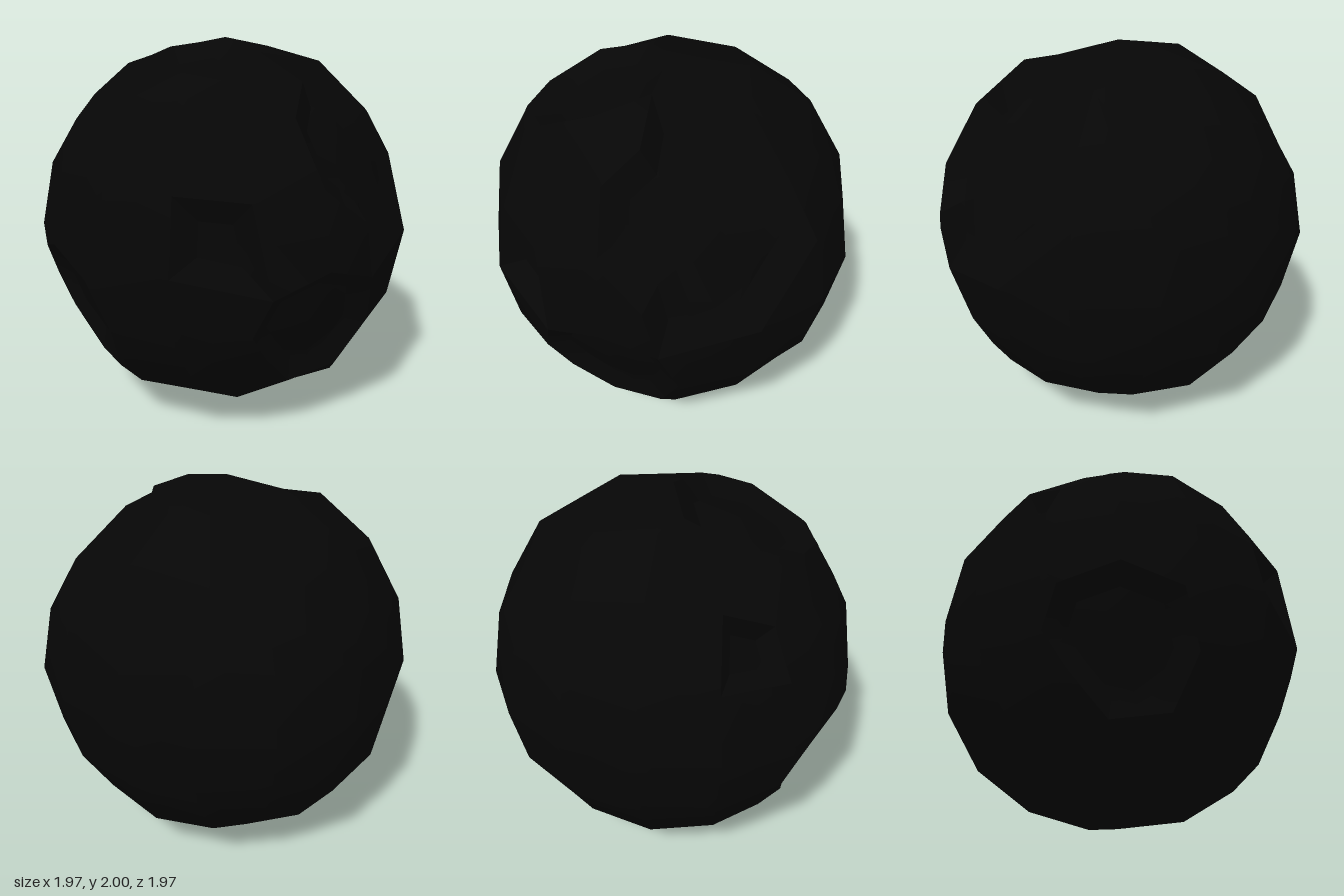
import * as THREE from 'three';
import { ConvexGeometry } from 'three/addons/geometries/ConvexGeometry.js';
import { toCreasedNormals } from 'three/addons/utils/BufferGeometryUtils.js';

const V = (x, y, z) => new THREE.Vector3(x, y, z);

// Octagonal crater outline on the front; the flank one is the same, turned a quarter
const octagon = [
  [-0.39, 0, 0.92], [-0.1, -0.1, 0.985], [0, -0.38, 0.92], [-0.08, -0.64, 0.79],
  [-0.34, -0.67, 0.67], [-0.55, -0.46, 0.68], [-0.67, -0.3, 0.68], [-0.64, -0.1, 0.77],
];

// Each crater: rim corners, size of the floor against the rim, floor height factor
const craters = [
  { rim: octagon.map(([x, y, z]) => V(x, y, z)), inset: 0.74, floor: 0.91 },
  { rim: octagon.map(([x, y, z]) => V(z, y, -x)), inset: 0.74, floor: 0.91 },
  { // top
    rim: [V(0, 1, 0), V(0.3, 0.94, 0.1), V(0.366, 0.87, 0.366), V(0.24, 0.75, 0.64),
      V(0, 0.735, 0.73), V(-0.24, 0.75, 0.64), V(-0.366, 0.87, 0.366), V(-0.28, 0.94, 0.1)],
    inset: 0.72, floor: 0.9,
  },
  { // large one on the left flank
    rim: [V(0.3, 0.94, 0.1), V(0.59, 0.82, 0.16), V(0.67, 0.68, 0.34), V(0.857, 0.375, 0.366),
      V(0.98, 0.19, 0.17), V(0.985, -0.1, 0.1), V(0.92, 0, -0.393), V(0.67, 0.345, -0.67),
      V(0.58, 0.6, -0.54), V(0.366, 0.87, -0.366)],
    inset: 0.74, floor: 0.9,
  },
  { // small square one on the front
    rim: [V(0.366, 0.37, 0.857), V(0.67, 0.345, 0.67), V(0.77, -0.1, 0.64), V(0.393, 0, 0.92)],
    inset: 0.5, floor: 0.88,
  },
  { // small one, upper right
    rim: [V(-0.857, 0.37, 0.366), V(-0.67, 0.68, 0.34), V(-0.57, 0.58, 0.57), V(-0.67, 0.345, 0.67)],
    inset: 0.55, floor: 0.9,
  },
  { // small one underneath
    rim: [V(0, -1, 0), V(0.393, -0.93, 0), V(0.366, -0.87, 0.366), V(0, -0.93, 0.393)],
    inset: 0.55, floor: 0.9,
  },
];

// Corners of a rounded cube with 4 by 4 facets per side, up to order and sign
const bodyCorners = [
  [0.985, 0, 0], [0.92, 0.393, 0], [0.721, 0.721, 0],
  [0.857, 0.366, 0.366], [0.672, 0.672, 0.339], [0.571, 0.571, 0.571],
];
const orders = [[0, 1, 2], [0, 2, 1], [1, 0, 2], [1, 2, 0], [2, 0, 1], [2, 1, 0]];

// Signed distance of p beyond the outline, measured in its own sector
function beyond(p, ring, center) {
  let result = Infinity;
  ring.forEach((a, i) => {
    const b = ring[(i + 1) % ring.length];
    const side = Math.sign(a.clone().cross(b).dot(center));
    const inSector = center.clone().cross(a).dot(p) * side >= 0
      && b.clone().cross(center).dot(p) * side >= 0 && p.dot(center) > 0;
    if (inSector) result = -a.clone().cross(b).normalize().dot(p) * side;
  });
  return result;
}

// Closed ring with long edges split along their chords
function splitRing(ring) {
  return ring.flatMap((a, i) => {
    const b = ring[(i + 1) % ring.length];
    const n = Math.max(1, Math.ceil(a.distanceTo(b) / 0.17));
    return Array.from({ length: n }, (_, k) => a.clone().lerp(b, k / n));
  });
}

function rockGeometry() {
  // Surface points keyed by direction
  const points = new Map();
  const key = (d) => [d.x, d.y, d.z].map((c) => Math.round(c * 1e4)).join();
  const directions = [];
  const add = (p) => {
    const d = p.clone().normalize();
    if (points.has(key(d))) return;
    points.set(key(d), p);
    directions.push(d);
  };

  // Crater rims and floors
  for (const c of craters) {
    const meanRadius = c.rim.reduce((s, p) => s + p.length(), 0) / c.rim.length;
    c.center = c.rim.reduce((s, p) => s.add(p), V(0, 0, 0)).setLength(meanRadius);
    c.inner = c.rim.map((p) => {
      const radius = THREE.MathUtils.lerp(meanRadius, p.length(), c.inset) * c.floor;
      return c.center.clone().lerp(p, c.inset).setLength(radius);
    });
    splitRing(c.rim).forEach(add);
    splitRing(c.inner).forEach(add);
  }

  // Round body, lowered inside the craters
  for (const corner of bodyCorners) {
    for (const [i, j, k] of orders) {
      for (let s = 0; s < 8; s++) {
        const p = V(
          corner[i] * (s & 1 ? -1 : 1),
          corner[j] * (s & 2 ? -1 : 1) * 1.015,
          corner[k] * (s & 4 ? -1 : 1),
        );
        const hit = craters.find((c) => beyond(p, c.rim, c.center) < 0.05);
        if (!hit) add(p);
        else if (beyond(p, hit.inner, hit.center) < -0.08) add(p.multiplyScalar(hit.floor));
      }
    }
  }

  // Join neighbouring directions, then move each corner to its own depth
  const geometry = new ConvexGeometry(directions);
  const pos = geometry.attributes.position;
  const d = V(0, 0, 0);
  for (let i = 0; i < pos.count; i++) {
    const p = points.get(key(d.fromBufferAttribute(pos, i)));
    if (p) pos.setXYZ(i, p.x, p.y, p.z);
  }
  return toCreasedNormals(geometry, 0.5);
}

export function createModel() {
  const group = new THREE.Group();
  group.name = 'crateredRock';
  const black = new THREE.MeshStandardMaterial({ color: 0x060606 });
  black.name = 'nearBlack';
  const body = new THREE.Mesh(rockGeometry(), black);
  body.name = 'crateredBody';
  body.position.y = 1;
  group.add(body);
  return group;
}
